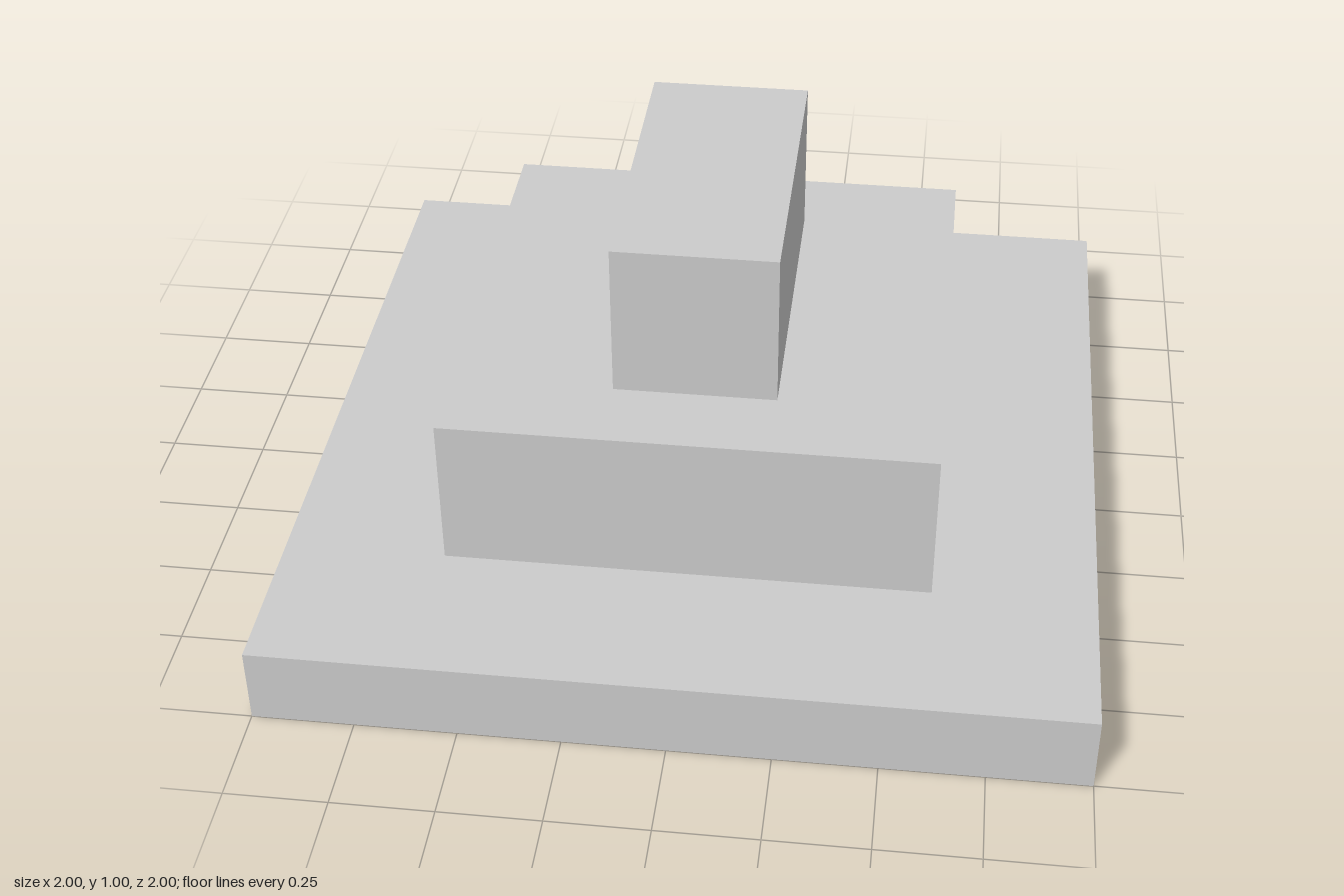
import * as THREE from 'three';

// Stepped tiers from the ground up: name, width, height, depth
const TIERS = [
  ['basePlinth', 2, 0.2, 2],
  ['middleBlock', 1.2, 0.4, 1.2],
  ['topBlock', 0.4, 0.4, 0.8],
];

export function createModel() {
  const model = new THREE.Group();
  model.name = 'steppedPedestal';
  const material = new THREE.MeshStandardMaterial({ color: 0xcccccc });

  // Each tier rests on the one below
  let y = 0;
  for (const [name, width, height, depth] of TIERS) {
    const tier = new THREE.Mesh(new THREE.BoxGeometry(width, height, depth), material);
    tier.name = name;
    tier.position.y = y + height / 2;
    model.add(tier);
    y += height;
  }
  return model;
}
